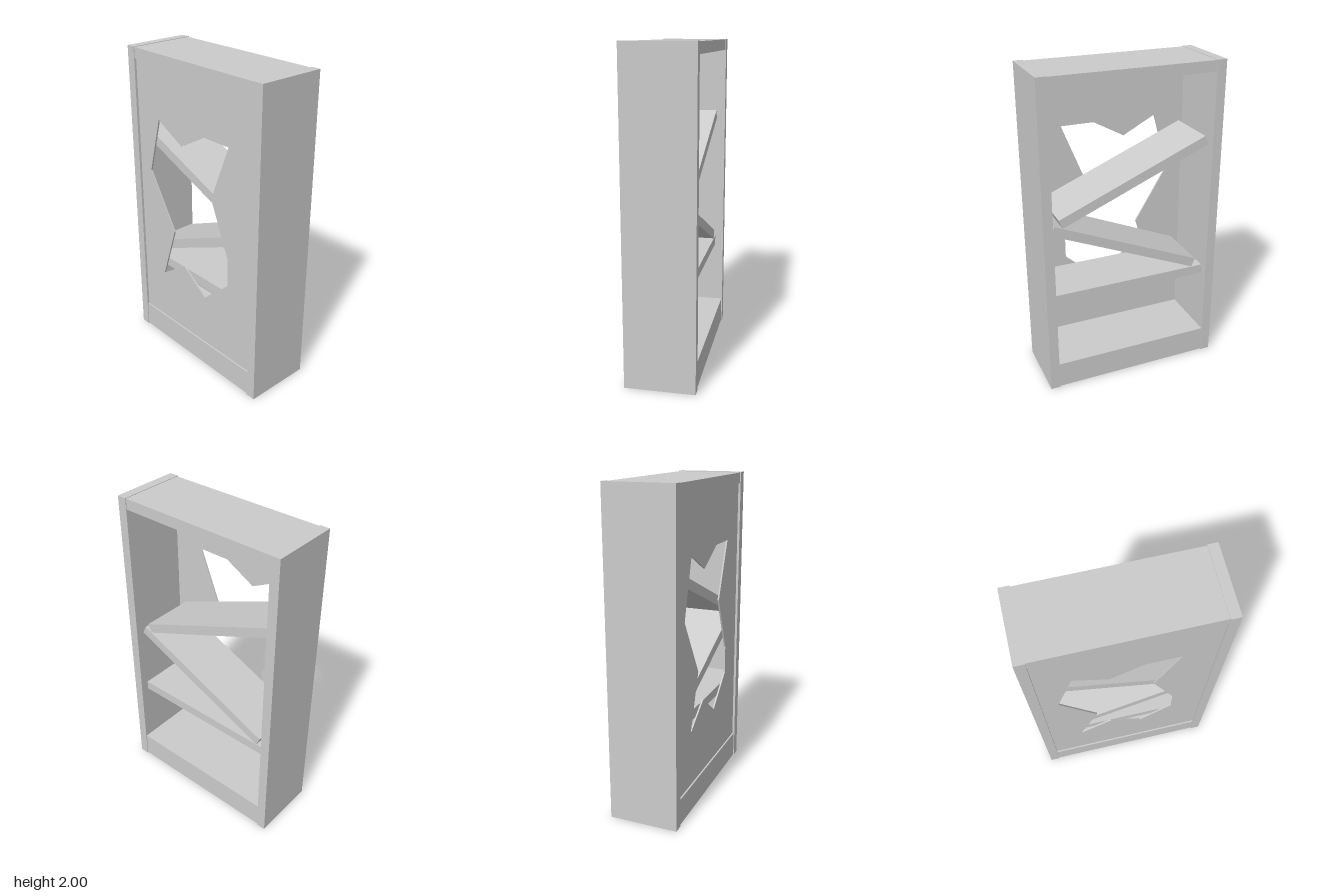
import * as THREE from 'three';

export function createModel() {
  const group = new THREE.Group();
  const material = new THREE.MeshStandardMaterial({ color: 0xcccccc, flatShading: true });

  function add(name, geometry) {
    const mesh = new THREE.Mesh(geometry, material);
    mesh.name = name;
    group.add(mesh);
    return mesh;
  }

  // Box given by its lower and upper limits
  function board(name, [x0, y0, z0], [x1, y1, z1]) {
    const mesh = add(name, new THREE.BoxGeometry(x1 - x0, y1 - y0, z1 - z0));
    mesh.position.set((x0 + x1) / 2, (y0 + y1) / 2, (z0 + z1) / 2);
    return mesh;
  }

  const inner = 0.51, depth = 0.21;
  const panelBack = 0.19, panelFront = 0.2, shelfBack = -0.16, shelfThick = 0.06;

  // Case
  board('leftSide', [inner, 0, -0.215], [0.57, 2, 0.215]);
  board('rightSide', [-0.57, 0, -0.215], [-inner, 2, 0.215]);
  board('topBoard', [-inner, 1.93, -depth], [inner, 1.997, depth]);
  board('base', [-inner, 0.003, -depth], [inner, 0.17, depth]);

  // Front panel with a jagged opening
  const panel = new THREE.Shape([
    [-inner, 0.17], [inner, 0.17], [inner, 1.93], [-inner, 1.93],
  ].map(([x, y]) => new THREE.Vector2(x, y)));
  panel.holes.push(new THREE.Path([
    [-0.31, 1.59], [-0.41, 1.23], [-0.19, 0.87], [-0.31, 0.515],
    [-0.1, 0.655], [0.1, 0.515], [0.31, 0.7], [0.31, 0.88],
    [0.165, 1.23], [0.31, 1.59], [0.1, 1.59], [-0.1, 1.48],
  ].map(([x, y]) => new THREE.Vector2(x, y))));
  add('frontPanel', new THREE.ExtrudeGeometry(panel, {
    depth: panelFront - panelBack, bevelEnabled: false,
  })).position.z = panelBack;

  // Shelves, each laid along its lower edge from a to b
  function shelf(name, a, b) {
    const dx = b[0] - a[0], dy = b[1] - a[1];
    const length = Math.hypot(dx, dy);
    const geometry = new THREE.BoxGeometry(length, shelfThick, panelBack - shelfBack);
    geometry.translate(length / 2, shelfThick / 2, 0);
    const mesh = add(name, geometry);
    mesh.position.set(a[0], a[1], (panelBack + shelfBack) / 2);
    mesh.rotation.z = Math.atan2(dy, dx);
  }
  shelf('levelShelf', [-inner, 0.583], [inner, 0.583]);
  shelf('lowerRamp', [-0.435, 0.645], [inner, 1.053]);
  shelf('upperRamp', [-inner, 1.477], [0.434, 1.087]);

  return group;
}
